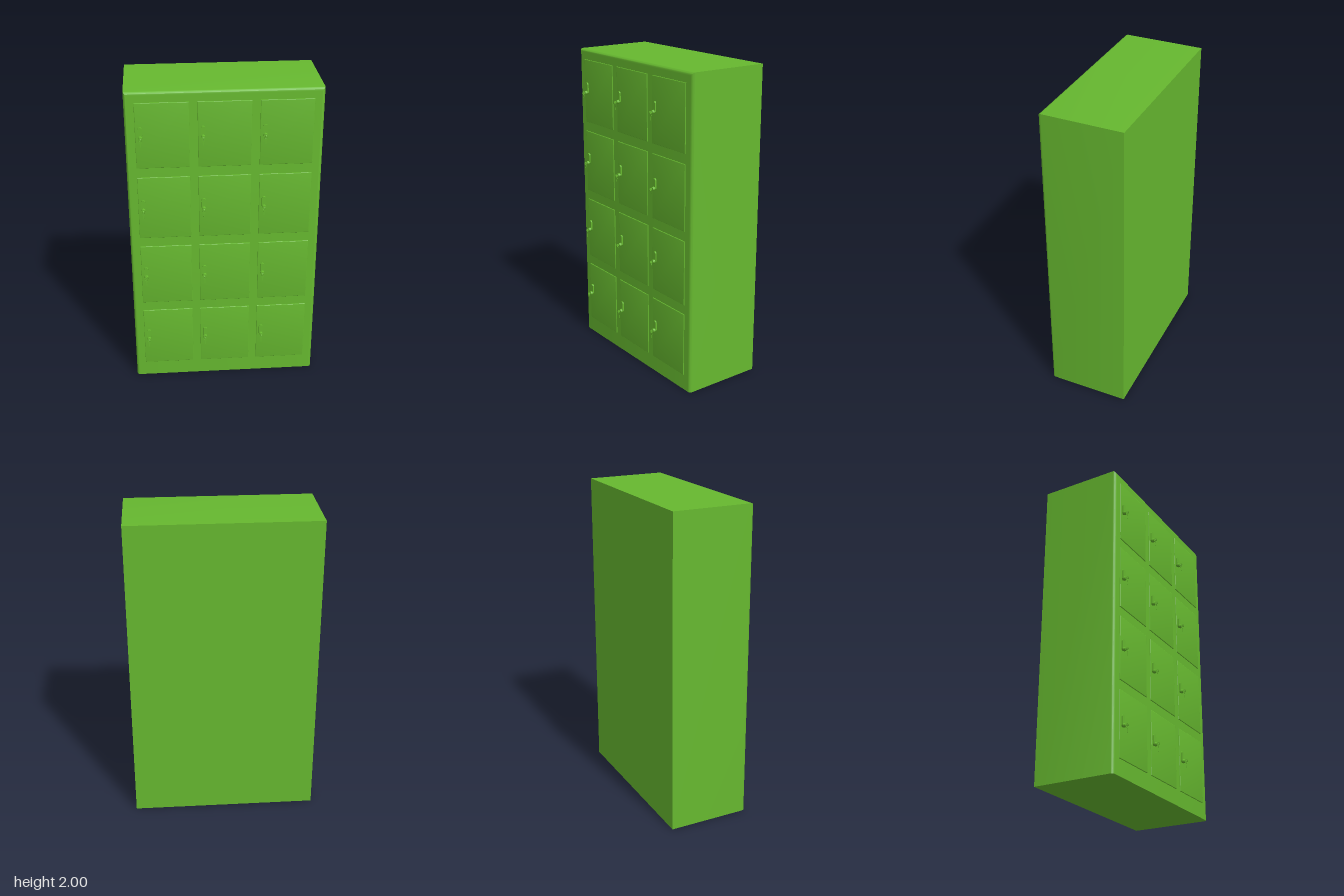
import * as THREE from 'three';
import { toCreasedNormals } from 'three/addons/utils/BufferGeometryUtils.js';

const green = new THREE.MeshStandardMaterial({ color: 0x66b82f });

// Box whose front edges are rounded by r; the bottom edge can stay square.
function frontRoundedBox(w, h, d, r, roundBottom, steps) {
  const geo = new THREE.BoxGeometry(w, h, d, 1, 1, steps + 1);
  const p = geo.attributes.position;
  for (let i = 0; i < p.count; i++) {
    const layer = Math.round((p.getZ(i) / d + 0.5) * (steps + 1));
    if (layer === 0) continue;
    const a = ((layer - 1) / steps) * Math.PI / 2;
    const inset = r * (1 - Math.cos(a));
    const x = p.getX(i), y = p.getY(i);
    p.setX(i, x - Math.sign(x) * inset);
    if (y > 0 || roundBottom) p.setY(i, y - Math.sign(y) * inset);
    p.setZ(i, d / 2 - r + r * Math.sin(a));
  }
  return toCreasedNormals(geo, 0.6);
}

function add(parent, name, geo, x, y, z) {
  const mesh = new THREE.Mesh(geo, green);
  mesh.name = name;
  mesh.position.set(x, y, z);
  parent.add(mesh);
  return mesh;
}

// Upright plate with round ends, standing on z = 0.
function stadium(halfWidth, halfHeight, depth) {
  const s = new THREE.Shape();
  const c = halfHeight - halfWidth;
  s.absarc(0, c, halfWidth, 0, Math.PI);
  s.absarc(0, -c, halfWidth, Math.PI, Math.PI * 2);
  return new THREE.ExtrudeGeometry(s, { depth, bevelEnabled: false, curveSegments: 10 });
}

const doorGeo = frontRoundedBox(0.32, 0.412, 0.012, 0.003, true, 3);
const plateGeo = stadium(0.013, 0.037, 0.011);
const barrelGeo = new THREE.CylinderGeometry(0.011, 0.013, 0.014, 16).rotateX(Math.PI / 2);
const stemGeo = new THREE.BoxGeometry(0.004, 0.007, 0.016);
const bowGeo = new THREE.CylinderGeometry(0.009, 0.009, 0.003, 16).rotateZ(Math.PI / 2);
const ringGeo = new THREE.TorusGeometry(0.008, 0.0013, 6, 18);
const bladeGeo = new THREE.BoxGeometry(0.006, 0.032, 0.002);
const spareBowGeo = new THREE.CylinderGeometry(0.008, 0.008, 0.002, 16).rotateX(Math.PI / 2);

// Lock plate, barrel, inserted key and the spare key hanging from its ring.
function createLock() {
  const lock = new THREE.Group();
  lock.name = 'lock';
  add(lock, 'lockPlate', plateGeo, 0, 0.028, 0);
  add(lock, 'lockBarrel', barrelGeo, 0, 0, 0.018);
  add(lock, 'keyStem', stemGeo, 0, 0, 0.029);
  add(lock, 'keyBow', bowGeo, 0, 0, 0.034);
  add(lock, 'keyRing', ringGeo, 0, -0.005, 0.034);
  add(lock, 'spareKeyBow', spareBowGeo, 0, -0.018, 0.034);
  add(lock, 'spareKeyBlade', bladeGeo, 0, -0.032, 0.034);
  return lock;
}

export function createModel() {
  const model = new THREE.Group();
  model.name = 'lockerCabinet';
  add(model, 'cabinet', frontRoundedBox(1.18, 2, 0.523, 0.02, false, 6), 0, 1, -0.0235);

  // Three columns by four rows of doors
  for (const x of [-0.37, 0, 0.37]) {
    for (let row = 0; row < 4; row++) {
      const y = 0.308 + row * 0.474;
      const door = new THREE.Group();
      door.name = 'lockerDoor';
      door.position.set(x, y, 0);
      add(door, 'doorPanel', doorGeo, 0, 0, 0.237);
      const lock = createLock();
      lock.position.set(-0.13, -0.008, 0.242);
      door.add(lock);
      model.add(door);
    }
  }
  return model;
}
